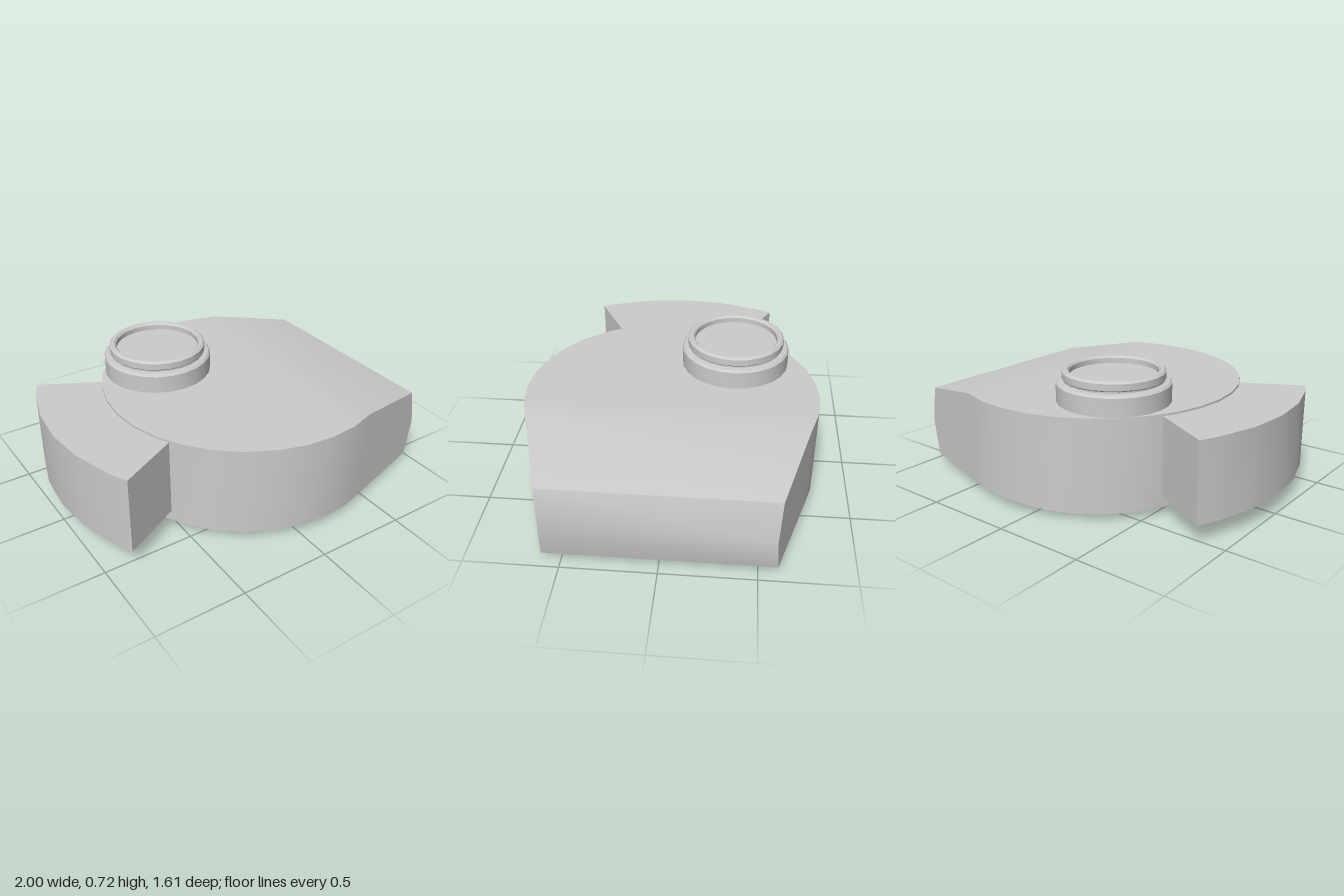
import * as THREE from 'three';
import { toCreasedNormals } from 'three/addons/utils/BufferGeometryUtils.js';

const CX = 0.17, R = 0.805, STEP = Math.PI / 16;
const material = new THREE.MeshStandardMaterial({ color: 0xcccccc });

function addPart(group, name, geometry, x = 0, y = 0, z = 0) {
  const mesh = new THREE.Mesh(toCreasedNormals(geometry, 0.5), material);
  mesh.name = name;
  mesh.position.set(x, y, z);
  group.add(mesh);
}

// Rounded housing lofted along x; each section is a rectangle [x, halfWidth, bottom, top]
function housingGeometry() {
  const sections = [];
  for (let i = 0; i <= 9; i++) {
    sections.push([CX - R * Math.cos(i * STEP), R * Math.sin(i * STEP), 0.045, 0.552]);
  }
  // straight taper, sloped top and pointed end face
  sections.push([0.48, 0.744, 0.045, 0.552], [0.95, 0.6, 0.045, 0.463], [1, 0.585, 0.25, 0.25]);
  const positions = [], index = [];
  for (const [x, w, bottom, top] of sections) {
    positions.push(x, bottom, w, x, top, w, x, top, -w, x, bottom, -w);
  }
  for (let s = 0; s < sections.length - 1; s++) {
    for (let k = 0; k < 4; k++) {
      const a = s * 4 + k, b = s * 4 + (k + 1) % 4;
      index.push(a, a + 4, b + 4, a, b + 4, b);
    }
  }
  const geometry = new THREE.BufferGeometry();
  geometry.setAttribute('position', new THREE.Float32BufferAttribute(positions, 3));
  geometry.setIndex(index);
  return geometry;
}

// Arc-shaped block concentric with the housing, with radial ends
function sideBlockGeometry() {
  const inner = 0.74, outer = 1.17, end = 0.486;
  const angles = [-end, -2 * STEP, -STEP, 0, STEP, 2 * STEP, end];
  const point = (r, a) => new THREE.Vector2(CX - r * Math.cos(a), r * Math.sin(a));
  const outline = [
    ...angles.map(a => point(outer, a)),
    ...angles.slice().reverse().map(a => point(inner, a)),
  ];
  const geometry = new THREE.ExtrudeGeometry(new THREE.Shape(outline), { depth: 0.435, bevelEnabled: false });
  return geometry.rotateX(-Math.PI / 2);
}

// Stepped collar with a shallow recess on top
function collarGeometry() {
  const profile = [
    [0.305, 0.53], [0.305, 0.65], [0.295, 0.661], [0.268, 0.664], [0.268, 0.672],
    [0.274, 0.678], [0.274, 0.713], [0.262, 0.724], [0.246, 0.724],
    [0.235, 0.713], [0.235, 0.685], [0, 0.685],
  ];
  return new THREE.LatheGeometry(profile.map(p => new THREE.Vector2(...p)), 24);
}

export function createModel() {
  const group = new THREE.Group();
  group.name = 'roundHousing';
  addPart(group, 'housing', housingGeometry());
  addPart(group, 'sideBlock', sideBlockGeometry(), 0, 0.105, 0);
  addPart(group, 'topCollar', collarGeometry(), -0.195, 0, -0.335);
  addPart(group, 'baseDisc', new THREE.CylinderGeometry(0.715, 0.715, 0.05, 40), 0.16, 0.025, -0.015);
  return group;
}
